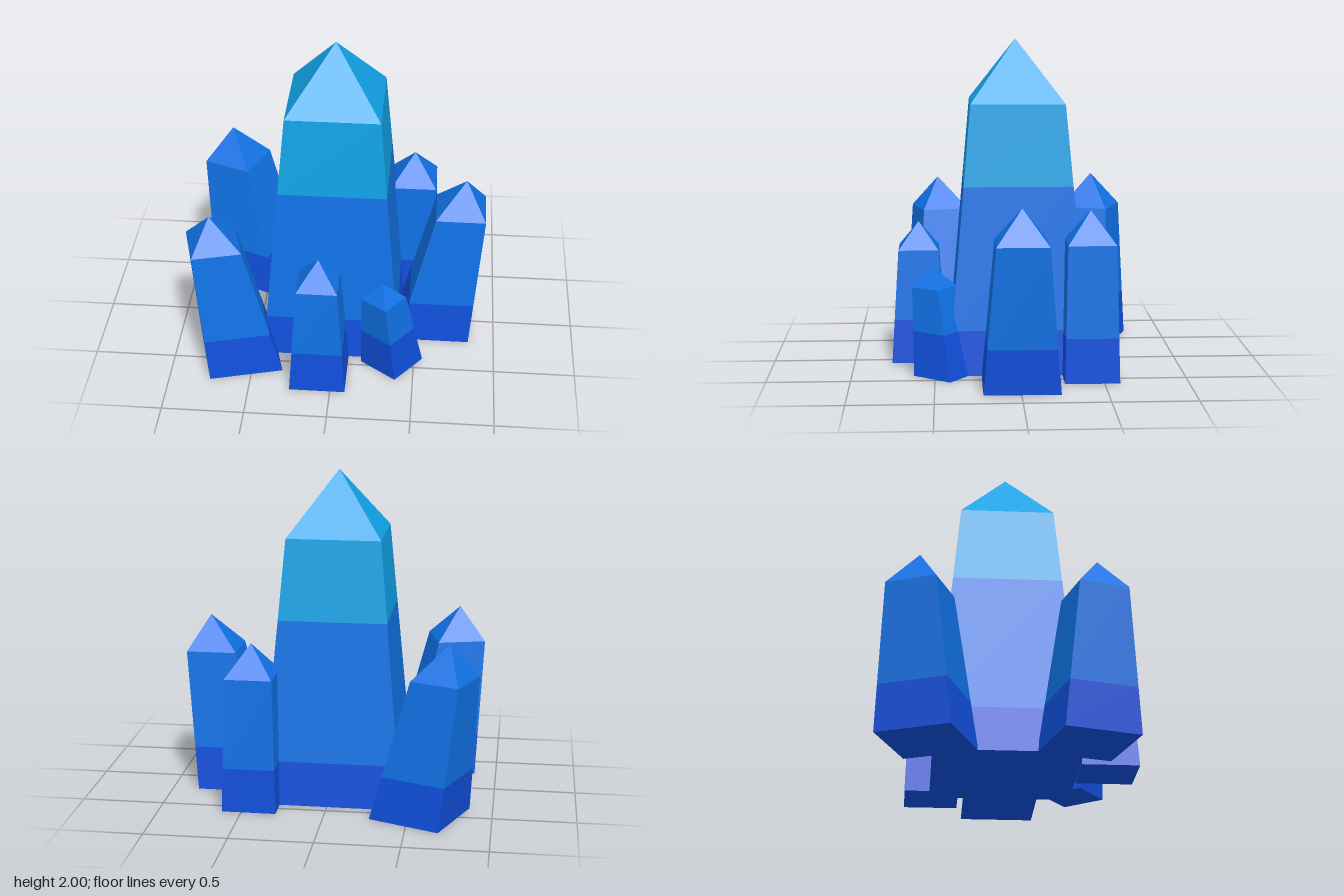
import * as THREE from 'three';

// colour zones change at fixed heights
const DEEP_TOP = 0.27, BODY_TOP = 1.13;

// each crystal: square base, square shoulder [x, y, z, half width], apex, turn in degrees
const CRYSTALS = [
  { name: 'mainCrystal', base: [-0.02, 0, -0.01, 0.43], shoulder: [-0.02, 1.62, -0.005, 0.285], apex: [-0.02, 2, 0], turn: 0 },
  { name: 'leftCrystal', base: [0.613, 0, -0.005, 0.225], shoulder: [0.757, 0.87, -0.005, 0.153], apex: [0.785, 1.075, -0.005], turn: 0 },
  { name: 'frontCrystal', base: [-0.08, 0, 0.597, 0.17], shoulder: [-0.081, 0.7, 0.6, 0.124], apex: [-0.08, 0.865, 0.6], turn: 0 },
  { name: 'backLeftCrystal', base: [0.453, 0, -0.429, 0.163], shoulder: [0.453, 0.82, -0.426, 0.143], apex: [0.455, 1.01, -0.426], turn: 0 },
  { name: 'backRightCrystal', base: [-0.567, 0, -0.472, 0.226], shoulder: [-0.709, 0.865, -0.53, 0.153], apex: [-0.735, 1.075, -0.535], turn: 21.5 },
  { name: 'frontRightCrystal', base: [-0.587, 0, 0.431, 0.226], shoulder: [-0.724, 0.86, 0.469, 0.15], apex: [-0.742, 1.057, 0.484], turn: -15.1 },
  { name: 'smallFrontCrystal', base: [0.362, 0, 0.436, 0.136], shoulder: [0.308, 0.53, 0.499, 0.097], apex: [0.3, 0.65, 0.52], turn: 36.9 },
];

// four corners of a square section, running from +x towards +z
function ring([x, y, z, half], turn) {
  return [45, 135, 225, 315].map((deg) => {
    const a = THREE.MathUtils.degToRad(deg + turn);
    const r = half * Math.SQRT2;
    return [x + r * Math.cos(a), y, z + r * Math.sin(a)];
  });
}

function flatMesh(name, triangles, material) {
  const geometry = new THREE.BufferGeometry();
  geometry.setAttribute('position', new THREE.Float32BufferAttribute(triangles.flat(2), 3));
  geometry.computeVertexNormals();
  const mesh = new THREE.Mesh(geometry, material);
  mesh.name = name;
  return mesh;
}

// sloping walls between two square sections
function walls(low, high) {
  return low.flatMap((p, i) => {
    const j = (i + 1) % 4;
    return [[low[j], p, high[i]], [low[j], high[i], high[j]]];
  });
}

function buildCrystal({ name, base, shoulder, apex, turn }, materials) {
  const group = new THREE.Group();
  group.name = name;
  const sectionAt = (y) => ring(base.map((v, i) => THREE.MathUtils.lerp(v, shoulder[i], y / shoulder[1])), turn);
  const tall = shoulder[1] > BODY_TOP;
  const foot = sectionAt(0);
  const deep = sectionAt(DEEP_TOP);
  const top = sectionAt(shoulder[1]);
  const point = top.map((p, i) => [top[(i + 1) % 4], p, apex]);
  const underside = [[foot[0], foot[1], foot[2]], [foot[0], foot[2], foot[3]]];

  group.add(flatMesh('crystalFoot', [...underside, ...walls(foot, deep)], materials.deep));
  if (tall) {
    const middle = sectionAt(BODY_TOP);
    group.add(flatMesh('crystalBody', walls(deep, middle), materials.body));
    group.add(flatMesh('crystalTip', [...walls(middle, top), ...point], materials.tip));
  } else {
    group.add(flatMesh('crystalBody', [...walls(deep, top), ...point], materials.body));
  }
  return group;
}

export function createModel() {
  const material = (name, color) => {
    const m = new THREE.MeshStandardMaterial({ color });
    m.name = name;
    return m;
  };
  const materials = {
    deep: material('deepBlue', 0x104fdc),
    body: material('midBlue', 0x1072e6),
    tip: material('skyBlue', 0x10a2e6),
  };
  const model = new THREE.Group();
  model.name = 'crystalCluster';
  CRYSTALS.forEach((c) => model.add(buildCrystal(c, materials)));
  return model;
}
